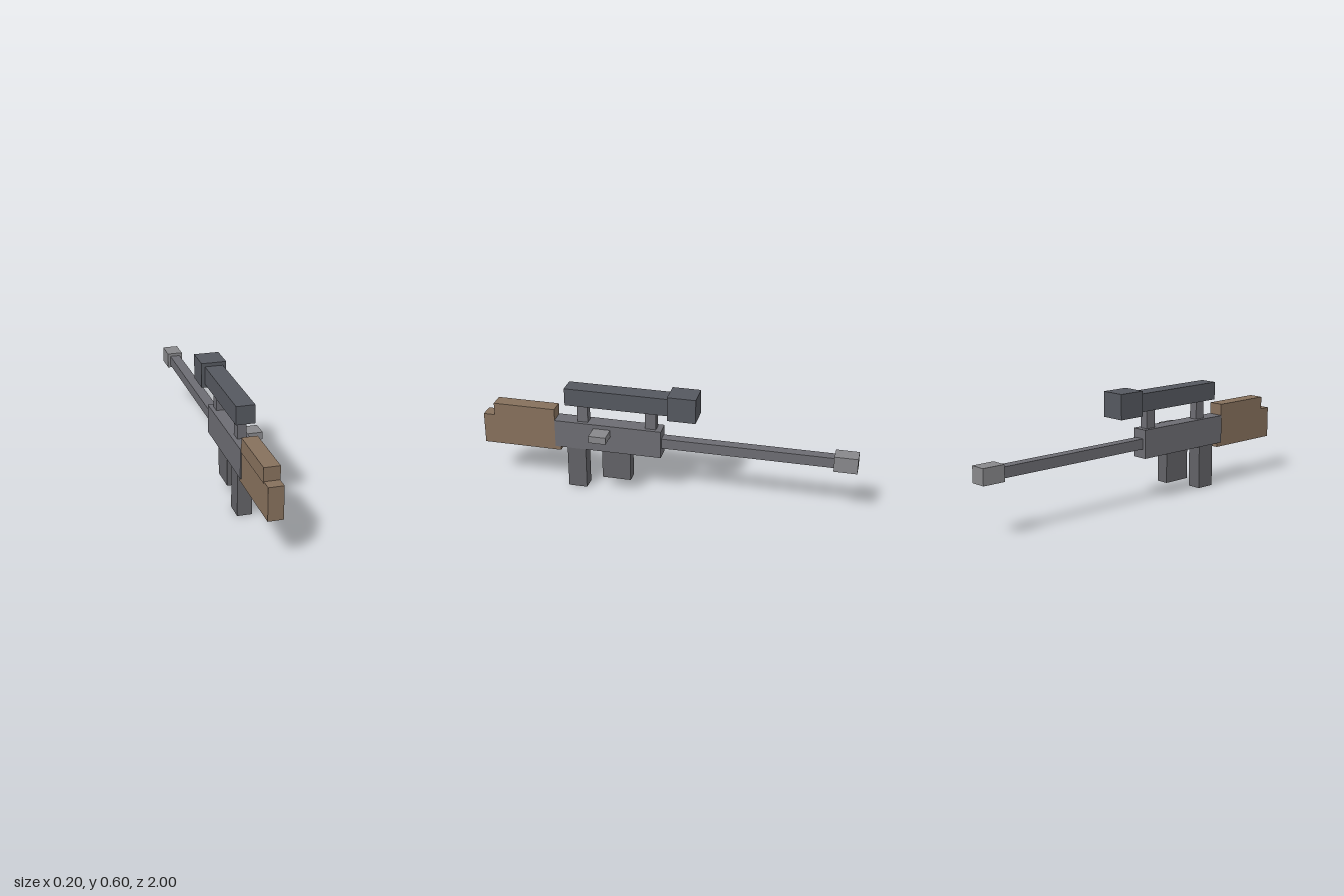
import * as THREE from 'three';

const paint = (color) => new THREE.MeshStandardMaterial({ color, flatShading: true });

export function createModel() {
  const model = new THREE.Group();
  model.name = 'scopedRifle';

  const wood = paint(0x86705c);
  const steel = paint(0x6c6c72);
  const darkSteel = paint(0x55585f);
  const gripGrey = paint(0x626266);
  const lightSteel = paint(0x88888b);
  const axisX = -0.035; // the gun's centre plane; the bolt handle offsets it

  // Box from its width and its y and z ranges, centred on the given x
  function block(name, material, width, [y0, y1], [z0, z1], x = axisX) {
    const mesh = new THREE.Mesh(new THREE.BoxGeometry(width, y1 - y0, z1 - z0), material);
    mesh.position.set(x, (y0 + y1) / 2, (z0 + z1) / 2);
    mesh.name = name;
    model.add(mesh);
  }

  // Wooden stock with a raised cheek rest
  block('stock', wood, 0.076, [0.21, 0.378], [0.572, 1]);
  block('cheekRest', wood, 0.08, [0.37, 0.447], [0.6, 0.938]);

  // Body, grip and magazine
  block('receiver', steel, 0.088, [0.233, 0.385], [0.02, 0.6]);
  block('grip', gripGrey, 0.076, [0, 0.24], [0.432, 0.535]);
  block('magazine', gripGrey, 0.066, [0.072, 0.24], [0.188, 0.343]);
  block('boltHandle', lightSteel, 0.1, [0.325, 0.363], [0.293, 0.385], 0.05);

  // Barrel and muzzle
  block('barrel', steel, 0.055, [0.282, 0.337], [-0.89, 0.03]);
  block('muzzle', lightSteel, 0.084, [0.269, 0.353], [-1, -0.878]);

  // Scope on two mounts
  block('scopeTube', darkSteel, 0.095, [0.484, 0.579], [-0.03, 0.538]);
  block('scopeBell', darkSteel, 0.131, [0.466, 0.598], [-0.168, -0.018]);
  for (const z of [0.08, 0.449]) {
    block('scopeMount', steel, 0.045, [0.38, 0.49], [z - 0.029, z + 0.029]);
  }

  return model;
}
